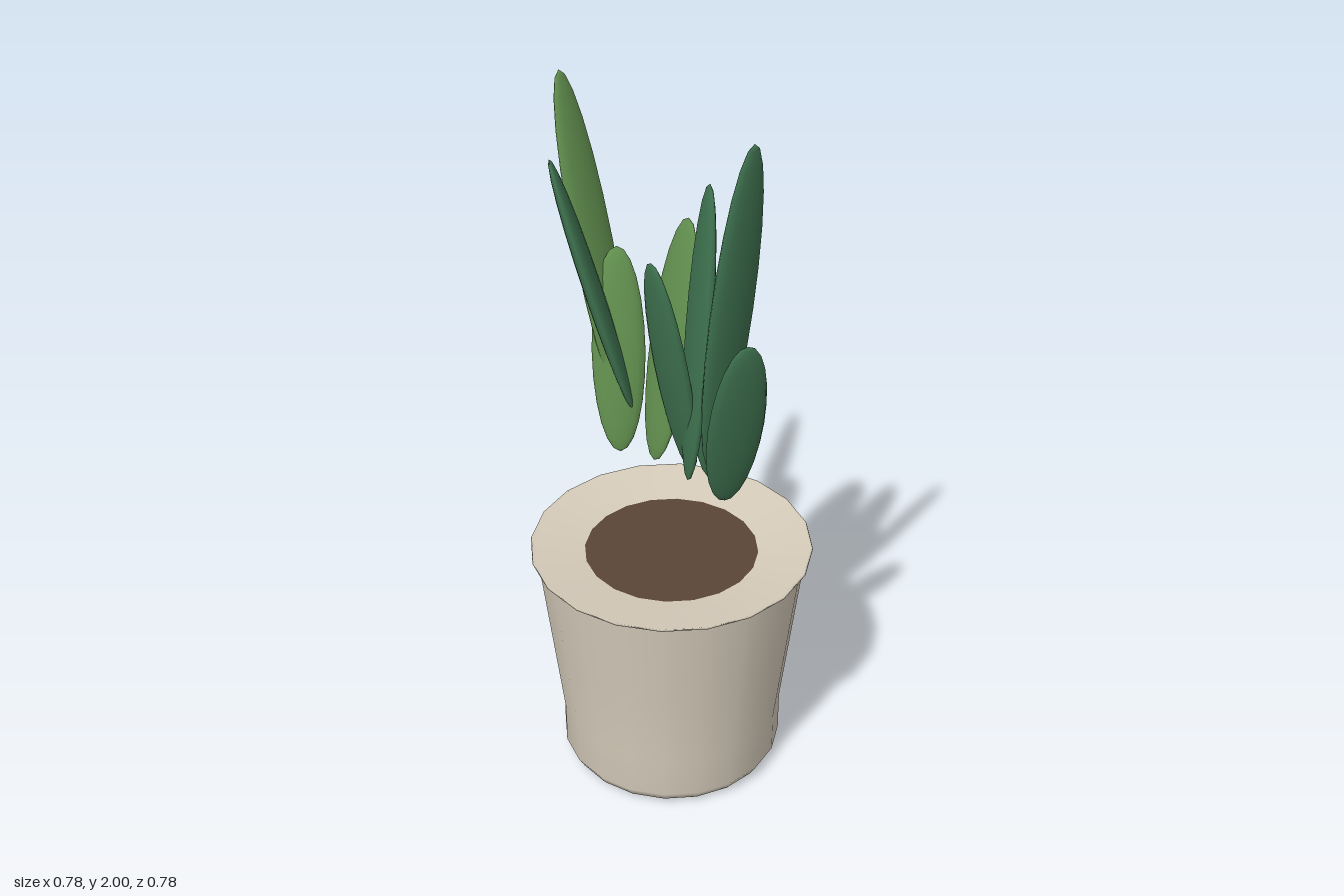
import * as THREE from 'three';

const material = (color) => new THREE.MeshStandardMaterial({ color });

function lathe(name, profile, mat) {
  const points = profile.map(([r, y]) => new THREE.Vector2(r, y));
  const mesh = new THREE.Mesh(new THREE.LatheGeometry(points, 20), mat);
  mesh.name = name;
  return mesh;
}

// Flat oval leaf from its base to its tip; its broad face looks the way it leans
function leaf(geometry, base, tip, halfWidth, mat) {
  const a = new THREE.Vector3(...base);
  const b = new THREE.Vector3(...tip);
  const axis = b.clone().sub(a);
  const length = axis.length();
  axis.normalize();
  const lean = new THREE.Vector3(b.x - a.x, 0, b.z - a.z);
  const across = new THREE.Vector3().crossVectors(axis, lean).normalize();
  const normal = new THREE.Vector3().crossVectors(across, axis);
  const mesh = new THREE.Mesh(geometry, mat);
  mesh.quaternion.setFromRotationMatrix(new THREE.Matrix4().makeBasis(across, axis, normal));
  mesh.position.copy(a).add(b).multiplyScalar(0.5);
  mesh.scale.set(halfWidth, length / 2, 0.023);
  mesh.name = 'leaf';
  return mesh;
}

export function createModel() {
  const group = new THREE.Group();
  group.name = 'pottedPlant';
  const clay = material(0xd6ccbb);
  const soilBrown = material(0x5a4536);
  const lightGreen = material(0x62904f);
  const darkGreen = material(0x3f7350);

  // Pot: rounded foot, tapered wall, thin lip and shallow inner collar
  group.add(lathe('pot', [
    [0, 0.005], [0.24, 0.005], [0.295, 0.02], [0.312, 0.05],
    [0.312, 0.17], [0.34, 0.41], [0.372, 0.685],
  ], clay));
  group.add(lathe('potLip', [[0.372, 0.685], [0.39, 0.697], [0.388, 0.702], [0.383, 0.7]], clay));
  group.add(lathe('potCollar', [[0.383, 0.7], [0.24, 0.68]], clay));

  // Soil disc
  const soil = new THREE.Mesh(new THREE.CircleGeometry(0.24, 20), soilBrown);
  soil.rotation.x = -Math.PI / 2;
  soil.position.y = 0.68;
  soil.name = 'soil';
  group.add(soil);

  // Leaves: base, tip, half width, colour
  const oval = new THREE.SphereGeometry(1, 16, 12);
  const leaves = [
    [[0.11, 1.03, 0.11], [0.207, 2.0, 0.205], 0.072, darkGreen],
    [[-0.13, 1.03, -0.14], [-0.302, 1.98, -0.245], 0.075, lightGreen],
    [[-0.11, 1.05, -0.12], [-0.315, 1.8, -0.1], 0.068, darkGreen],
    [[-0.145, 0.94, -0.085], [-0.157, 1.515, -0.19], 0.072, lightGreen],
    [[-0.045, 0.99, 0.025], [0.04, 1.67, -0.06], 0.075, lightGreen],
    [[0.15, 0.94, 0.13], [0.205, 1.5, 0.28], 0.075, darkGreen],
    [[0.055, 0.99, 0.065], [-0.04, 1.65, 0.15], 0.07, darkGreen],
    [[0.05, 0.99, 0.115], [0.1, 1.84, 0.092], 0.07, darkGreen],
    [[0.115, 0.945, 0.035], [0.14, 1.51, 0.1], 0.067, darkGreen],
  ];
  const foliage = new THREE.Group();
  foliage.name = 'foliage';
  for (const [base, tip, halfWidth, mat] of leaves) foliage.add(leaf(oval, base, tip, halfWidth, mat));
  group.add(foliage);
  return group;
}
